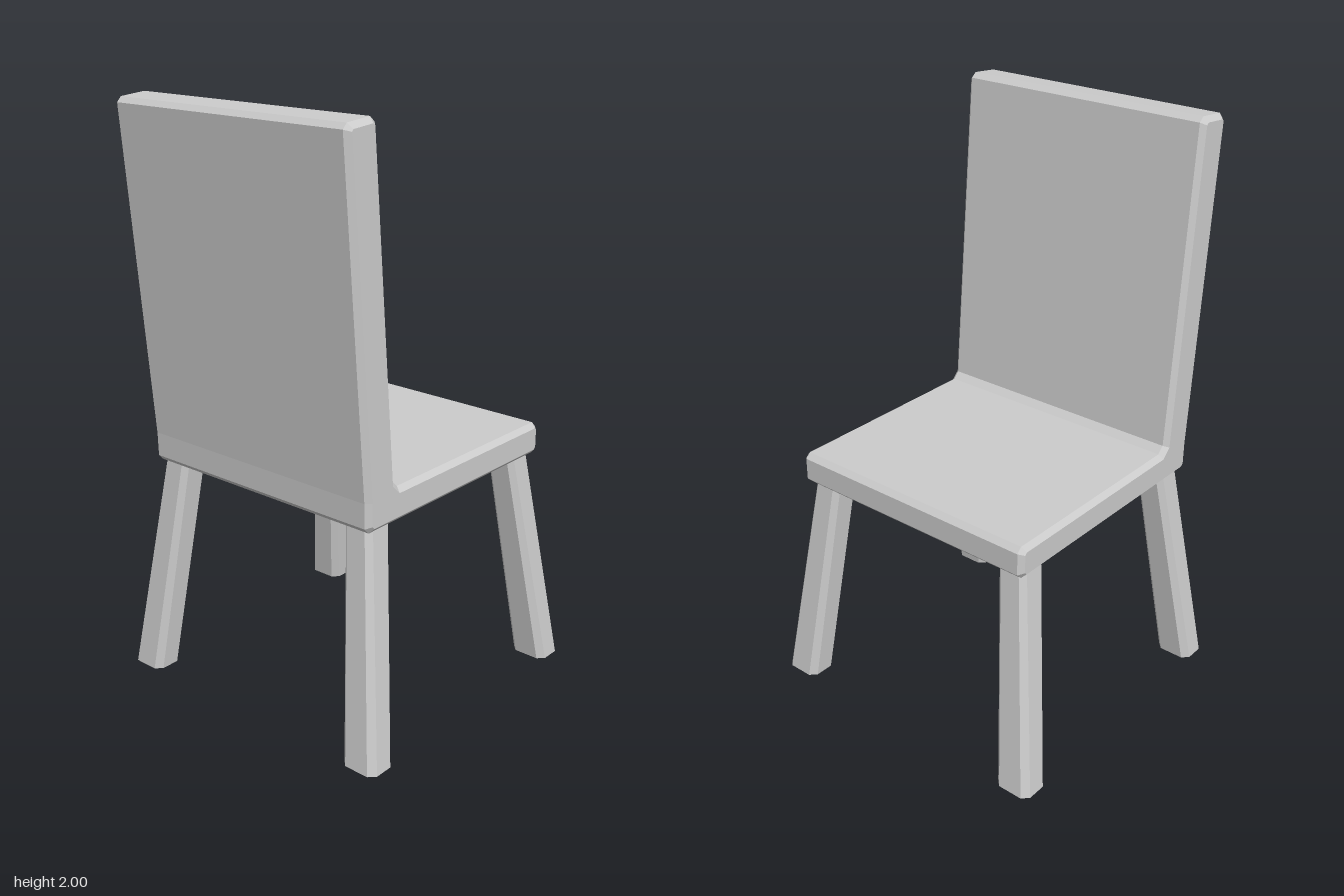
import * as THREE from 'three';

const material = new THREE.MeshStandardMaterial({ color: 0xcccccc, flatShading: true, side: THREE.DoubleSide });

// Seat and backrest: one L-shaped side profile (z, y) extruded across x
function makeSeatAndBack() {
  const profile = [
    [-0.447, 0.768], [0.422, 0.768], [0.44, 0.787], [0.442, 0.87],
    [0.538, 1.975], [0.522, 1.992], [0.427, 2.0], [0.408, 1.984],
    [0.313, 0.903], [0.29, 0.88], [-0.447, 0.88], [-0.465, 0.862], [-0.465, 0.786],
  ];
  const bevel = 0.017, width = 0.948;
  const geometry = new THREE.ExtrudeGeometry(
    new THREE.Shape(profile.map(([z, y]) => new THREE.Vector2(z, y))),
    {
      depth: width - 2 * bevel, bevelEnabled: true, bevelSegments: 1,
      bevelSize: bevel, bevelThickness: bevel, bevelOffset: -bevel,
    },
  );
  geometry.translate(0, 0, bevel - width / 2);
  geometry.rotateY(-Math.PI / 2);
  const mesh = new THREE.Mesh(geometry, material);
  mesh.name = 'seatAndBackrest';
  return mesh;
}

// Chamfered rectangle at height y
function section(x0, x1, z0, z1, y, c) {
  return [
    [x0 + c, z0], [x1 - c, z0], [x1, z0 + c], [x1, z1 - c],
    [x1 - c, z1], [x0 + c, z1], [x0, z1 - c], [x0, z0 + c],
  ].map(([x, z]) => [x, y, z]);
}

// Splayed leg: open tube between a foot section and a section under the seat
function makeLeg(name, sideX, foot, top) {
  const xs = (a, b) => (sideX > 0 ? [a, b] : [-b, -a]);
  const low = section(...xs(0.425, 0.558), ...foot, 0, 0.022);
  const high = section(...xs(0.349, 0.456), ...top, 0.775, 0.018);
  const positions = [];
  low.forEach((a, i) => {
    const j = (i + 1) % low.length;
    positions.push(...a, ...high[i], ...high[j], ...a, ...high[j], ...low[j]);
  });
  const geometry = new THREE.BufferGeometry();
  geometry.setAttribute('position', new THREE.Float32BufferAttribute(positions, 3));
  geometry.computeVertexNormals();
  const mesh = new THREE.Mesh(geometry, material);
  mesh.name = name;
  return mesh;
}

export function createModel() {
  const chair = new THREE.Group();
  chair.name = 'chair';
  chair.add(makeSeatAndBack());
  for (const [side, sx] of [['left', 1], ['right', -1]]) {
    // Legs below the backrest, then legs below the open seat edge
    chair.add(makeLeg(`${side}BackrestLeg`, sx, [0.408, 0.517], [0.312, 0.418]));
    chair.add(makeLeg(`${side}SeatEdgeLeg`, sx, [-0.538, -0.428], [-0.434, -0.328]));
  }
  return chair;
}
